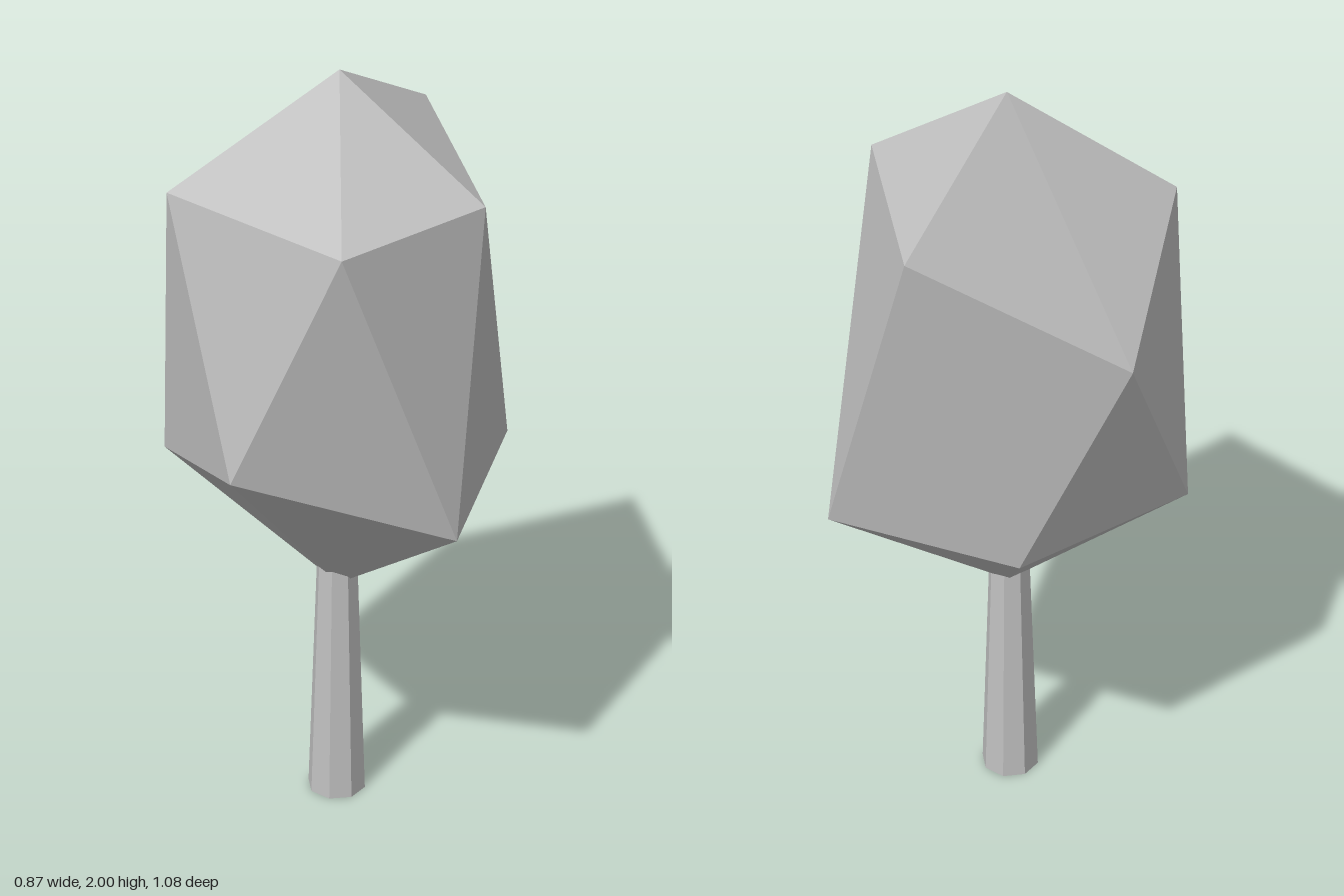
import * as THREE from 'three';

const gray = new THREE.MeshStandardMaterial({ color: 0xc0c0c0, flatShading: true });
gray.name = 'gray';

// Faceted crown: two apexes joined by two staggered rings of five corners
function crownGeometry() {
  const top = [0.035, 2, 0], bottom = [0.035, 0.62, 0];
  const upper = [
    [0.43, 1.75, 0.18], [0.18, 1.72, 0.54], [-0.345, 1.72, 0.18],
    [-0.345, 1.48, -0.33], [0.13, 1.8, -0.54],
  ];
  const lower = [
    [0.415, 0.96, 0.335], [-0.11, 1.105, 0.465], [-0.435, 0.96, 0],
    [-0.1, 0.96, -0.425], [0.415, 0.96, -0.33],
  ];
  const points = [];
  for (let i = 0; i < 5; i++) {
    const j = (i + 1) % 5;
    points.push(
      top, upper[j], upper[i],
      upper[i], upper[j], lower[i],
      upper[j], lower[j], lower[i],
      lower[i], lower[j], bottom,
    );
  }
  const geometry = new THREE.BufferGeometry();
  geometry.setAttribute('position', new THREE.Float32BufferAttribute(points.flat(), 3));
  geometry.computeVertexNormals();
  return geometry;
}

export function createModel() {
  const tree = new THREE.Group();
  tree.name = 'tree';

  const crown = new THREE.Mesh(crownGeometry(), gray);
  crown.name = 'crown';

  // Tapered eight-sided trunk, its top buried in the crown
  const trunk = new THREE.Mesh(new THREE.CylinderGeometry(0.053, 0.08, 0.74, 8), gray);
  trunk.name = 'trunk';
  trunk.position.set(0.035, 0.37, 0.008);

  tree.add(crown, trunk);
  return tree;
}
